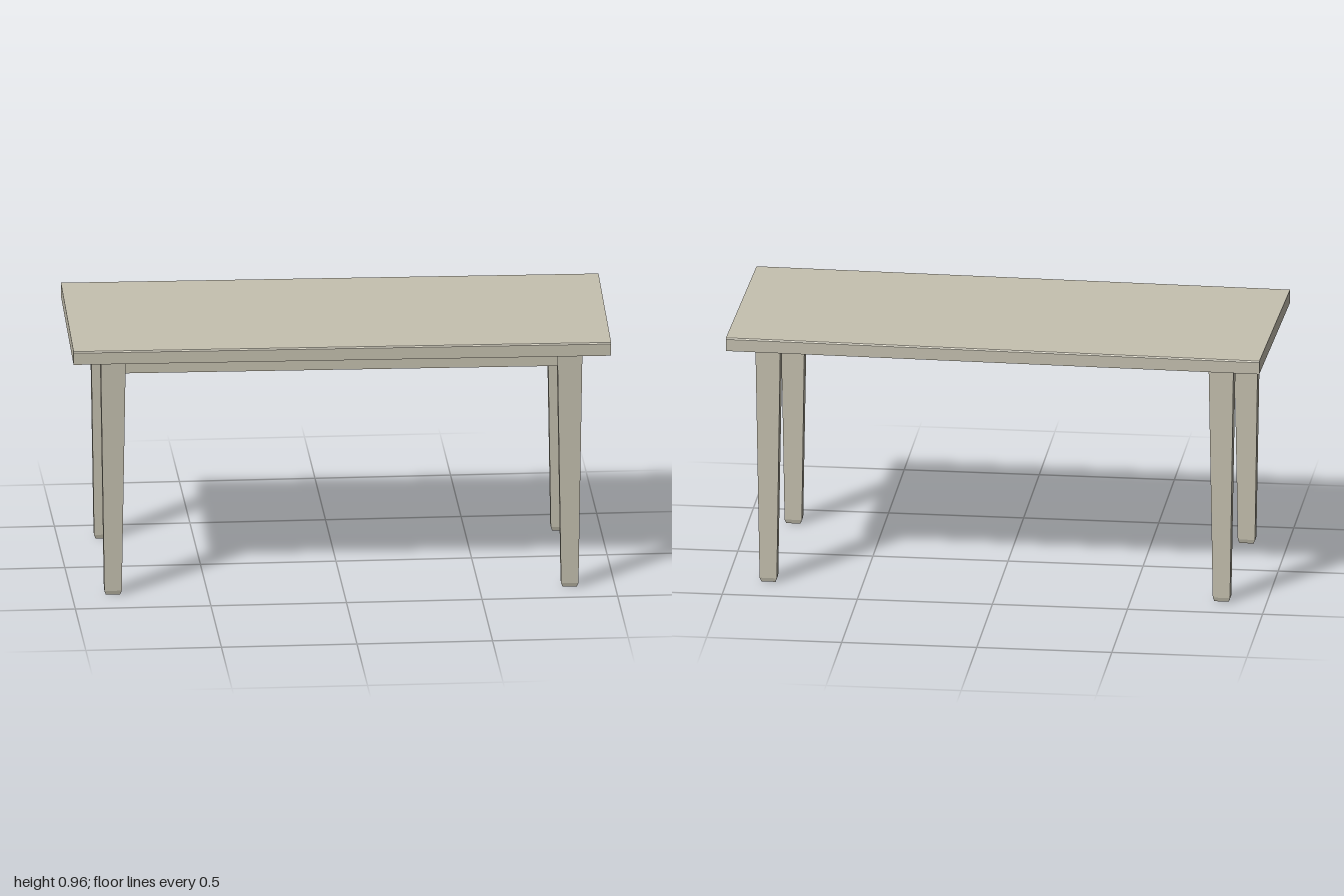
import * as THREE from 'three';

const material = new THREE.MeshStandardMaterial({ color: 0xc6c1b0, flatShading: true });

// Joins rectangular sections [y, width, depth], bottom to top, into a closed solid.
function loft(sections) {
  const pos = [];
  const rings = sections.map(([y, w, d]) => [
    [-w / 2, y, d / 2], [w / 2, y, d / 2], [w / 2, y, -d / 2], [-w / 2, y, -d / 2],
  ]);
  const quad = (a, b, c, d) => pos.push(...a, ...b, ...c, ...a, ...c, ...d);
  for (let i = 0; i < rings.length - 1; i++) {
    for (let k = 0; k < 4; k++) {
      const n = (k + 1) % 4;
      quad(rings[i][k], rings[i][n], rings[i + 1][n], rings[i + 1][k]);
    }
  }
  const [b, t] = [rings[0], rings[rings.length - 1]];
  quad(b[3], b[2], b[1], b[0]);
  quad(t[0], t[1], t[2], t[3]);
  const geometry = new THREE.BufferGeometry();
  geometry.setAttribute('position', new THREE.Float32BufferAttribute(pos, 3));
  geometry.computeVertexNormals();
  return geometry;
}

export function createModel() {
  const table = new THREE.Group();
  table.name = 'table';

  const add = (name, geometry, x = 0, y = 0, z = 0) => {
    const mesh = new THREE.Mesh(geometry, material);
    mesh.name = name;
    mesh.position.set(x, y, z);
    table.add(mesh);
  };

  // Top board, with its long upper edges slightly eased
  add('tableTop', loft([[0.91, 1.98, 0.838], [0.955, 1.98, 0.838], [0.96, 1.98, 0.83]]));

  // Tapered legs with chamfered feet
  const legX = 0.841, legZ = 0.338;
  const leg = loft([[0, 0.053, 0.03], [0.015, 0.064, 0.038], [0.91, 0.092, 0.058]]);
  for (const x of [1, -1]) {
    for (const z of [1, -1]) {
      add((z > 0 ? 'front' : 'back') + (x > 0 ? 'Left' : 'Right') + 'Leg', leg, x * legX, 0, z * legZ);
    }
  }

  // Aprons: one along the front and one at each end; the back is open
  add('frontApron', new THREE.BoxGeometry(2 * legX - 0.06, 0.06, 0.025), 0, 0.882, legZ);
  const endApron = new THREE.BoxGeometry(0.03, 0.06, 2 * legZ - 0.03);
  for (const x of [1, -1]) add(x > 0 ? 'leftApron' : 'rightApron', endApron, x * legX, 0.882, 0);

  // The whole table stands slightly turned
  table.rotation.y = -0.0212;
  const model = new THREE.Group();
  model.add(table);
  return model;
}
